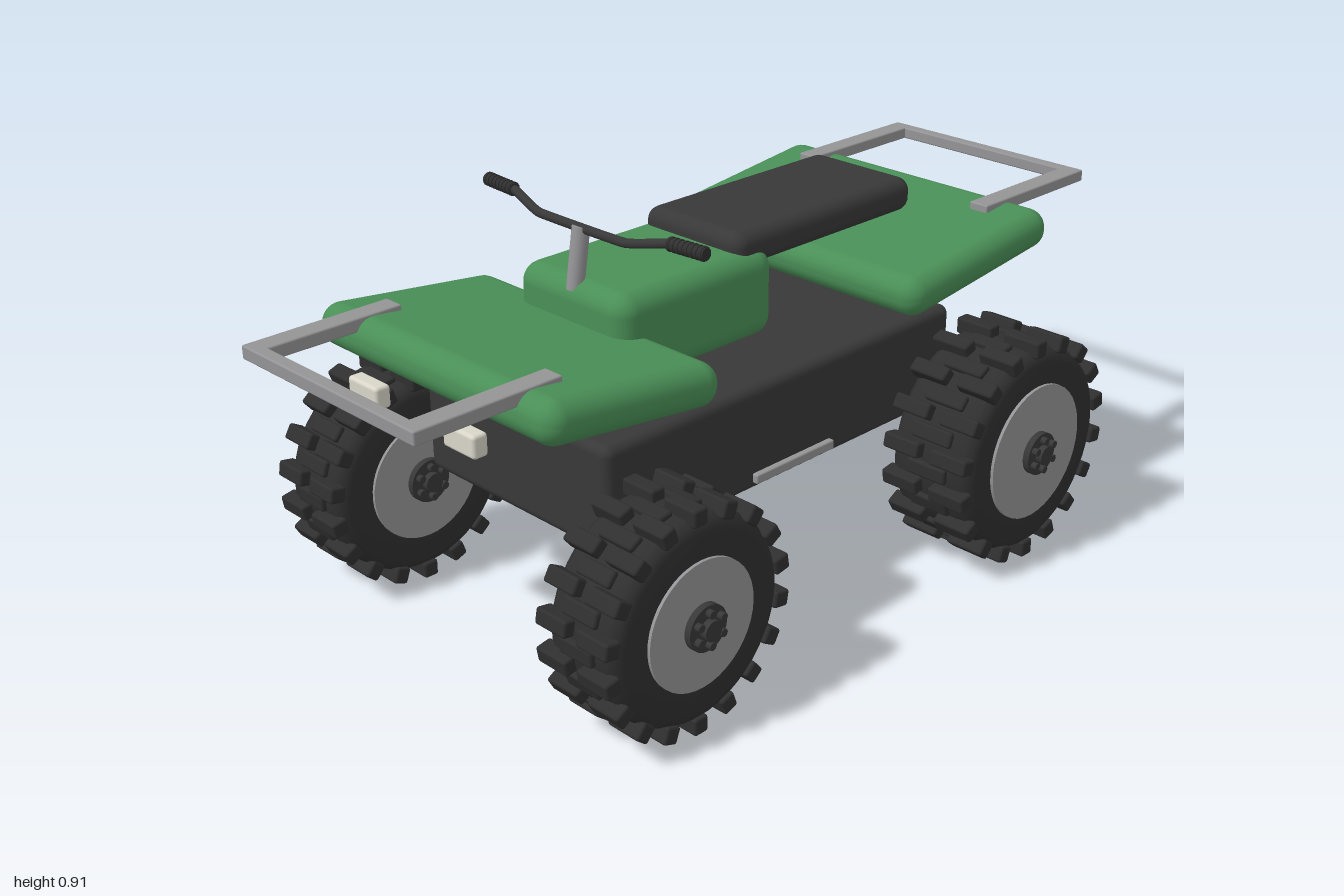
import * as THREE from 'three';
import { RoundedBoxGeometry } from 'three/addons/geometries/RoundedBoxGeometry.js';
import { toCreasedNormals } from 'three/addons/utils/BufferGeometryUtils.js';

const material = (name, color) => {
  const m = new THREE.MeshStandardMaterial({ color });
  m.name = name;
  return m;
};

export function createModel() {
  const green = material('green bodywork', 0x4a8f57);
  const dark = material('dark plastic', 0x383838);
  const rubber = material('black rubber', 0x2f2f2f);
  const metal = material('grey metal', 0x949496);
  const cream = material('lamp cream', 0xd9d6c9);

  const model = new THREE.Group();
  model.name = 'quadBike';

  const add = (parent, name, geometry, mat, x = 0, y = 0, z = 0) => {
    const mesh = new THREE.Mesh(geometry, mat);
    mesh.name = name;
    mesh.position.set(x, y, z);
    parent.add(mesh);
    return mesh;
  };
  const roundBox = (name, w, h, d, r, mat, x, y, z) =>
    add(model, name, new RoundedBoxGeometry(w, h, d, 4, r), mat, x, y, z);
  // Cylinder running from point a to point b
  const rod = (parent, name, a, b, r, mat) => {
    const dir = b.clone().sub(a);
    const mesh = add(parent, name, new THREE.CylinderGeometry(r, r, dir.length(), 16), mat);
    mesh.position.copy(a).addScaledVector(dir, 0.5);
    mesh.quaternion.setFromUnitVectors(new THREE.Vector3(0, 1, 0), dir.normalize());
    return mesh;
  };
  const V = (x, y, z) => new THREE.Vector3(x, y, z);

  // Body
  roundBox('chassis', 0.576, 0.24, 1.07, 0.022, dark, 0, 0.425, 0.03);
  roundBox('tank', 0.336, 0.2, 0.45, 0.045, green, 0, 0.675, 0.18);
  roundBox('seat', 0.296, 0.08, 0.58, 0.032, dark, 0, 0.775, -0.235);
  roundBox('frontFender', 0.744, 0.094, 0.455, 0.044, green, 0, 0.658, 0.546).rotation.x = -0.118;
  roundBox('rearFender', 0.784, 0.094, 0.5, 0.044, green, 0, 0.675, -0.485).rotation.x = 0.118;

  // Wheel with its axle along x
  function wheel(name, x, y, z, r, lug, halfWidth, rimR) {
    const g = new THREE.Group();
    g.name = name;
    g.position.set(x, y, z);
    model.add(g);
    const w = halfWidth - 0.004;
    const disc = (part, radius, half, mat) => {
      add(g, part, new THREE.CylinderGeometry(radius, radius, half * 2, 40), mat).rotation.z = Math.PI / 2;
    };

    const half = [[rimR, w], [r - 0.03, w], [r - 0.012, w - 0.006], [r - 0.002, w - 0.022], [r, w - 0.045]];
    const profile = [
      ...half.map(([a, b]) => new THREE.Vector2(a, -b)),
      ...half.reverse().map(([a, b]) => new THREE.Vector2(a, b)),
    ];
    const tire = toCreasedNormals(new THREE.LatheGeometry(profile, 48), 0.7);
    add(g, 'tire', tire, rubber).rotation.z = Math.PI / 2;

    // Staggered tread: a pair of shoulder blocks, then a lower centre block
    const count = 18;
    const block = halfWidth * 0.85;
    const shoulder = new RoundedBoxGeometry(block, lug + 0.014, 0.036, 2, 0.006);
    const centre = new RoundedBoxGeometry(halfWidth * 0.92, 0.024, 0.036, 2, 0.006);
    for (let i = 0; i < count; i++) {
      const a = (i / count) * Math.PI * 2;
      const place = (part, geo, px, top, h, angle) => {
        const d = top - h / 2;
        const m = add(g, part, geo, rubber, px, Math.cos(angle) * d, Math.sin(angle) * d);
        m.rotation.x = angle;
      };
      for (const s of [-1, 1])
        place('shoulderLug', shoulder, s * (halfWidth - block / 2), r + lug, lug + 0.014, a);
      place('centreLug', centre, 0, r + 0.011, 0.024, a + Math.PI / count);
    }

    // Rim and hub with bolts
    disc('rim', rimR, halfWidth + 0.003, metal);
    disc('hub', 0.05, halfWidth + 0.018, dark);
    disc('hubCap', 0.022, halfWidth + 0.033, dark);
    for (let i = 0; i < 6; i++) {
      const a = (i / 6) * Math.PI * 2;
      const bolt = new THREE.CylinderGeometry(0.009, 0.009, halfWidth * 2 + 0.062, 8);
      add(g, 'hubBolt', bolt, dark, 0, Math.cos(a) * 0.035, Math.sin(a) * 0.035).rotation.z = Math.PI / 2;
    }
  }

  for (const s of [-1, 1]) {
    const side = s > 0 ? 'left' : 'right';
    wheel(side + 'FrontWheel', s * 0.432, 0.255, 0.548, 0.226, 0.024, 0.1, 0.14);
    wheel(side + 'RearWheel', s * 0.45, 0.272, -0.482, 0.243, 0.025, 0.113, 0.16);

    // Suspension arm and foot rail
    rod(model, side + 'SuspensionArm', V(s * 0.25, 0.285, 0.5), V(s * 0.36, 0.335, 0.5), 0.012, metal);
    roundBox(side + 'FootRail', 0.04, 0.022, 0.245, 0.004, metal, s * 0.282, 0.336, 0.03);

    roundBox(side + 'Headlight', 0.096, 0.05, 0.036, 0.008, cream, s * 0.152, 0.606, 0.797);
  }

  // Flat U-shaped carrier racks
  const rack = (name, outer, y, zInner, zOuter, h) => {
    const g = new THREE.Group();
    g.name = name;
    model.add(g);
    const dir = Math.sign(zOuter);
    const len = Math.abs(zOuter - zInner);
    for (const s of [-1, 1])
      add(g, 'rackArm', new RoundedBoxGeometry(0.05, h, len, 2, 0.004), metal, s * (outer - 0.025), y, (zInner + zOuter) / 2);
    add(g, 'rackCrossbar', new RoundedBoxGeometry(outer * 2, h, 0.03, 2, 0.004), metal, 0, y, zOuter - dir * 0.015);
  };
  rack('frontRack', 0.274, 0.716, 0.655, 1, 0.03);
  rack('rearRack', 0.29, 0.742, -0.618, -1, 0.028);

  // Steering
  rod(model, 'steeringStem', V(0, 0.75, 0.383), V(0, 0.882, 0.362), 0.019, metal);
  const bar = new THREE.CurvePath();
  const pts = [V(-0.33, 0.9, 0.334), V(-0.235, 0.899, 0.34), V(-0.13, 0.879, 0.362),
    V(0.13, 0.879, 0.362), V(0.235, 0.899, 0.34), V(0.33, 0.9, 0.334)];
  const path = new THREE.CatmullRomCurve3(pts, false, 'catmullrom', 0.15);
  add(model, 'handlebar', new THREE.TubeGeometry(path, 60, 0.01, 10), dark);
  for (const s of [-1, 1]) {
    const inner = V(s * 0.235, 0.899, 0.34);
    const outer = V(s * 0.331, 0.9, 0.334);
    rod(model, 'grip', inner, outer, 0.0135, rubber);
    // Grip ribs
    for (let i = 0; i < 8; i++) {
      const t = i / 8;
      rod(model, 'gripRib', inner.clone().lerp(outer, t + 0.03), inner.clone().lerp(outer, t + 0.09), 0.0155, rubber);
    }
  }

  return model;
}
